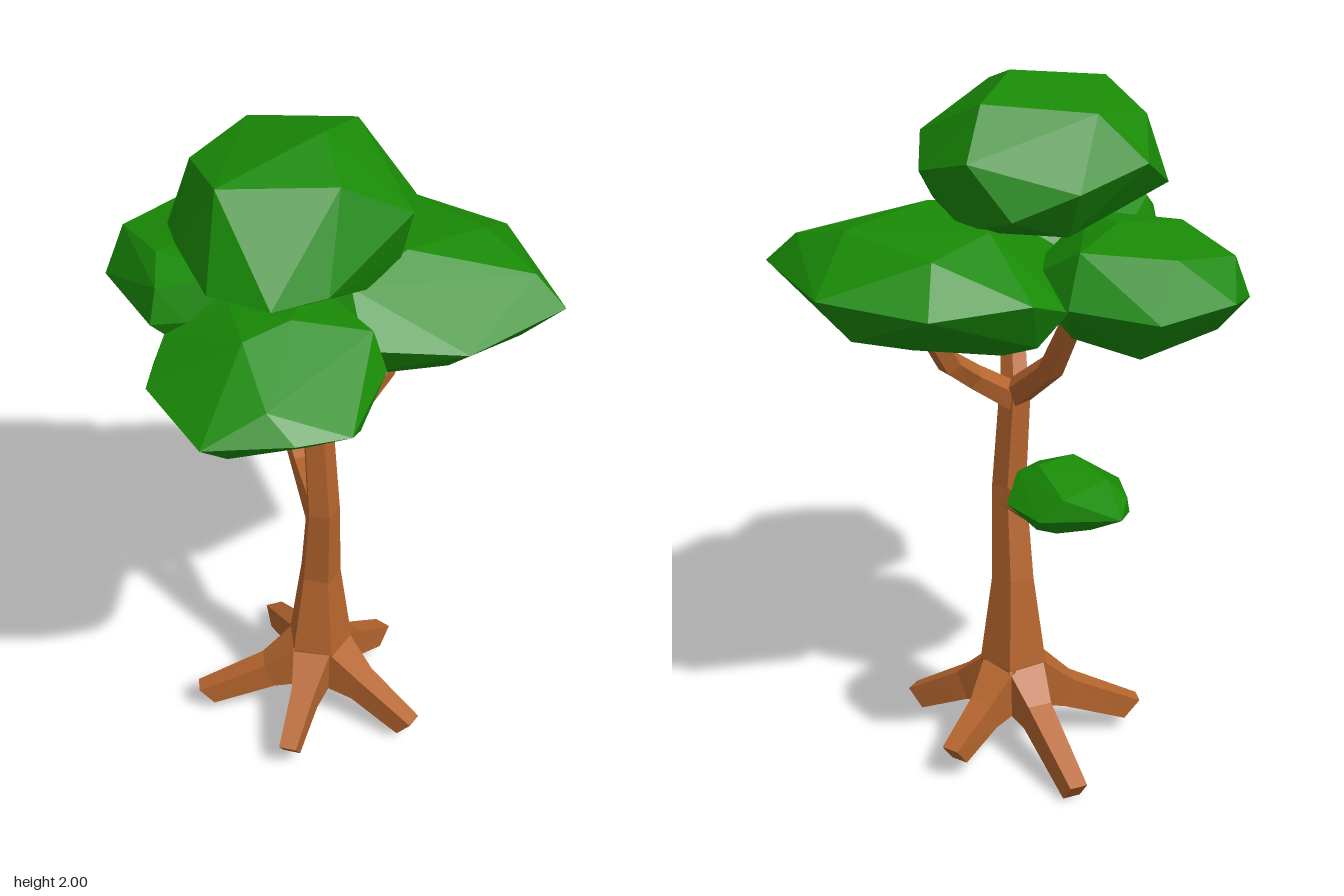
import * as THREE from 'three';
import { ConvexGeometry } from 'three/addons/geometries/ConvexGeometry.js';

const V = (x, y, z) => new THREE.Vector3(x, y, z);
const bark = new THREE.MeshStandardMaterial({ color: 0xb5652e, flatShading: true });
const leaf = new THREE.MeshStandardMaterial({ color: 0x198a06, flatShading: true });

// Joins equal rings of points into a closed, faceted skin
function loft(rings) {
  const pos = [];
  const n = rings[0].length;
  const tri = (...pts) => pts.forEach((p) => pos.push(p.x, p.y, p.z));
  for (let i = 0; i < rings.length - 1; i++) {
    for (let j = 0; j < n; j++) {
      const k = (j + 1) % n;
      const a = rings[i][j], b = rings[i][k], c = rings[i + 1][k], d = rings[i + 1][j];
      tri(a, b, c);
      tri(a, c, d);
    }
  }
  const first = rings[0], last = rings[rings.length - 1];
  for (let j = 1; j < n - 1; j++) {
    tri(first[0], first[j + 1], first[j]);
    tri(last[0], last[j], last[j + 1]);
  }
  const geo = new THREE.BufferGeometry();
  geo.setAttribute('position', new THREE.Float32BufferAttribute(pos, 3));
  geo.computeVertexNormals();
  return geo;
}

// Tapered limb through stations [x, y, z, radius]
function limb(stations, sides) {
  const pts = stations.map(([x, y, z]) => V(x, y, z));
  const rings = pts.map((p, i) => {
    const next = pts[Math.min(i + 1, pts.length - 1)];
    const prev = pts[Math.max(i - 1, 0)];
    const t = next.clone().sub(prev).normalize();
    const u = t.clone().cross(V(1, 0, 0)).normalize();
    const v = t.clone().cross(u);
    return Array.from({ length: sides }, (_, j) => {
      const a = (j / sides) * Math.PI * 2;
      const r = stations[i][3];
      return p.clone().addScaledVector(u, r * Math.cos(a)).addScaledVector(v, r * Math.sin(a));
    });
  });
  return loft(rings);
}

// Root with a rectangular section, running from the trunk face to its tip
function root(tipX, tipY, tipZ) {
  const base = V(-0.01, 0, -0.08);
  const d = V(tipX, 0, tipZ).sub(base);
  const len = d.length();
  d.normalize();
  const u = V(0, 1, 0).cross(d);
  // distance below, distance above, half width, bottom, top
  const sections = [
    [0.03, 0.076, 0.057, 0.13, 0.27],
    [0.14, 0.17, 0.036, 0.105, 0.188],
    [len - 0.03, len + 0.015, 0.026, tipY - 0.03, tipY + 0.025],
  ];
  return loft(sections.map(([low, high, w, y0, y1]) =>
    [[low, 1, y0], [high, 1, y1], [high, -1, y1], [low, -1, y0]].map(([dist, s, y]) =>
      base.clone().addScaledVector(d, dist).addScaledVector(u, s * w).setY(y))));
}

// Corners of the faceted leaf clumps: underside, rim, then upper side
const clumps = {
  topFoliage: [
    [-0.28, 1.61, 0.0], [-0.15, 1.63, 0.18], [0.14, 1.6, 0.0], [0.1, 1.61, -0.28], [-0.18, 1.61, -0.3],
    [-0.42, 1.7, -0.05], [-0.36, 1.72, 0.08], [-0.23, 1.69, 0.26], [-0.05, 1.69, 0.3], [0.08, 1.69, 0.2],
    [0.21, 1.65, -0.1], [0.25, 1.82, -0.05], [0.22, 1.76, -0.25], [0.07, 1.82, -0.4],
    [-0.05, 1.68, -0.43], [-0.22, 1.75, -0.4], [-0.38, 1.8, -0.25],
    [-0.36, 1.89, -0.08], [-0.23, 1.94, 0.15], [-0.25, 1.93, -0.27], [0.0, 2.0, -0.1], [0.05, 1.95, -0.29],
    [0.08, 1.94, 0.07],
  ],
  leftFoliage: [
    [0.09, 1.26, -0.14], [0.35, 1.32, -0.1], [0.08, 1.275, -0.25], [0.22, 1.31, -0.38], [-0.02, 1.31, -0.39],
    [-0.12, 1.36, -0.46], [-0.05, 1.36, 0.0], [0.1, 1.36, 0.07], [0.53, 1.38, -0.2], [0.35, 1.38, -0.53],
    [0.65, 1.485, -0.2], [0.43, 1.47, 0.06], [0.16, 1.49, 0.13], [-0.12, 1.48, 0.05], [-0.2, 1.46, -0.46],
    [-0.12, 1.5, -0.55], [0.13, 1.48, -0.65], [0.43, 1.5, -0.58],
    [0.56, 1.57, -0.22], [0.4, 1.62, -0.35], [0.14, 1.6, -0.53], [0.22, 1.65, -0.14],
    [0.02, 1.63, -0.35], [0.1, 1.61, 0.02],
  ],
  rightFoliage: [
    [-0.3, 1.28, -0.2], [-0.42, 1.3, -0.12], [-0.57, 1.35, -0.22], [-0.38, 1.32, -0.4], [-0.18, 1.33, -0.28],
    [-0.36, 1.36, 0.03],
    [-0.65, 1.43, -0.18], [-0.62, 1.47, -0.37], [-0.44, 1.46, -0.54], [-0.2, 1.47, -0.48],
    [-0.04, 1.46, -0.22], [-0.12, 1.46, 0.0], [-0.34, 1.47, 0.07], [-0.44, 1.46, 0.09],
    [-0.61, 1.56, -0.24], [-0.46, 1.6, -0.06], [-0.47, 1.59, -0.4], [-0.3, 1.63, -0.22], [-0.22, 1.6, -0.4],
    [-0.43, 1.56, 0.06], [-0.2, 1.6, 0.0],
  ],
  frontFoliage: [
    [-0.15, 1.36, 0.42], [0.07, 1.36, 0.4], [0.08, 1.34, 0.2], [-0.12, 1.33, 0.12], [-0.3, 1.42, 0.25],
    [-0.1, 1.42, 0.57], [0.21, 1.45, 0.42],
    [-0.38, 1.46, 0.26], [-0.35, 1.5, 0.43], [-0.15, 1.49, 0.645], [0.08, 1.5, 0.59], [0.21, 1.5, 0.52],
    [0.245, 1.53, 0.26], [0.14, 1.49, 0.07], [-0.06, 1.47, -0.02], [-0.29, 1.49, 0.08],
    [-0.34, 1.57, 0.28], [-0.19, 1.64, 0.2], [-0.1, 1.66, 0.4], [0.0, 1.67, 0.29], [0.2, 1.62, 0.22],
    [0.0, 1.57, 0.56], [0.0, 1.64, 0.05],
  ],
  lowFoliage: [
    [-0.17, 0.835, -0.35], [-0.26, 0.84, -0.42], [-0.12, 0.85, -0.46], [-0.3, 0.85, -0.32], [-0.07, 0.86, -0.33],
    [-0.18, 0.87, -0.52], [-0.2, 0.86, -0.24],
    [-0.36, 0.89, -0.4], [-0.355, 0.94, -0.42], [-0.35, 0.92, -0.53], [-0.14, 0.92, -0.57], [-0.04, 0.92, -0.46],
    [-0.04, 0.92, -0.3], [-0.15, 0.91, -0.22], [-0.32, 0.93, -0.27],
    [-0.3, 0.98, -0.4], [-0.2, 1.01, -0.31], [-0.12, 1.02, -0.42], [-0.2, 0.98, -0.555], [-0.06, 0.99, -0.4],
    [-0.1, 0.96, -0.25],
  ],
};

export function createModel() {
  const tree = new THREE.Group();
  tree.name = 'tree';
  const add = (name, geo, mat) => {
    const mesh = new THREE.Mesh(geo, mat);
    mesh.name = name;
    tree.add(mesh);
  };

  // Five-sided trunk
  add('trunk', limb([
    [-0.01, 0.14, -0.08, 0.075], [-0.01, 0.27, -0.08, 0.1], [-0.008, 0.53, -0.084, 0.063],
    [0.008, 0.8, -0.047, 0.051], [-0.01, 1.1, -0.055, 0.046],
  ], 5), bark);

  // Branches
  const branches = {
    frontBranch: [[-0.01, 1.05, -0.06, 0.042], [0.008, 1.2, 0.03, 0.037], [0.02, 1.29, 0.12, 0.034], [0.025, 1.38, 0.28, 0.028]],
    leftBranch: [[0, 1.07, -0.06, 0.044], [0.1, 1.15, -0.13, 0.037], [0.15, 1.21, -0.2, 0.036], [0.21, 1.36, -0.28, 0.032]],
    rightBranch: [[-0.01, 1.08, -0.06, 0.044], [-0.12, 1.2, -0.17, 0.038], [-0.19, 1.38, -0.29, 0.032]],
    lowBranch: [[0, 0.765, -0.06, 0.046], [-0.1, 0.797, -0.25, 0.034], [-0.18, 0.87, -0.38, 0.026]],
  };
  for (const [name, stations] of Object.entries(branches)) add(name, limb(stations, 5), bark);

  // Roots spread like a star
  [[-0.03, 0.08, 0.24], [0.3, 0.06, 0.03], [0.13, 0.08, -0.35], [-0.23, 0.03, -0.42], [-0.35, 0.07, 0.03]]
    .forEach((tip, i) => add(`root${i + 1}`, root(...tip), bark));

  // Leaf clumps
  for (const [name, corners] of Object.entries(clumps)) {
    add(name, new ConvexGeometry(corners.map((c) => V(...c))), leaf);
  }
  return tree;
}
